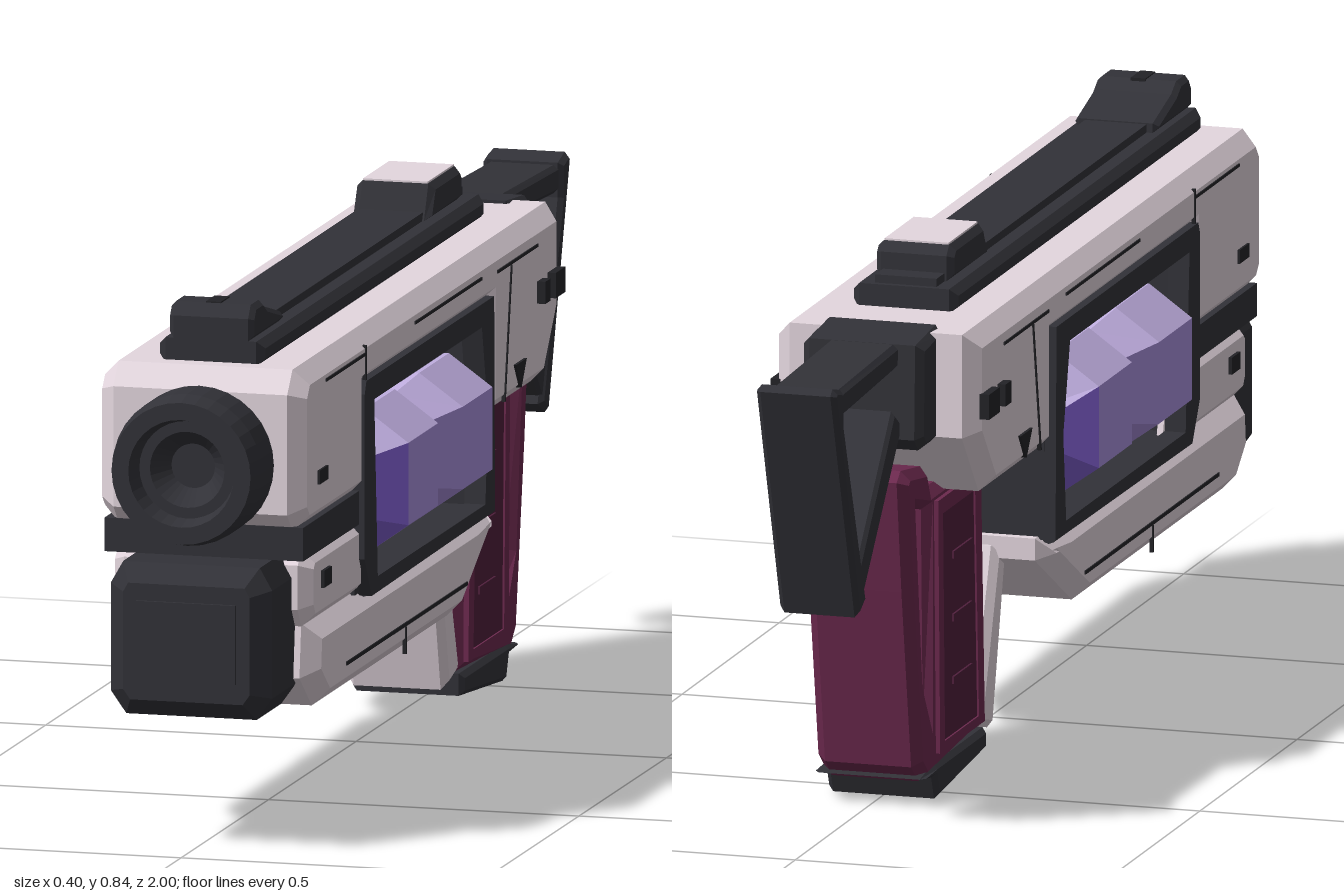
import * as THREE from 'three';

const mat = (name, color) => {
  const m = new THREE.MeshStandardMaterial({ color, flatShading: true });
  m.name = name;
  return m;
};

export function createModel() {
  const light = mat('pale shell', 0xe4d7df);
  const dark = mat('charcoal', 0x323238);
  const black = mat('black detail', 0x232327);
  const wine = mat('wine grip', 0x6c294e);
  const wineDark = mat('dark wine panel', 0x501f3c);
  const crystalMat = mat('lavender crystal', 0xaa90de);
  const crystalPale = mat('pale lavender crystal', 0xc0aee0);
  const coreMat = mat('violet core', 0x8260d2);

  const model = new THREE.Group();
  model.name = 'blaster';
  const add = (name, geometry, material) => {
    const mesh = new THREE.Mesh(geometry, material);
    mesh.name = name;
    model.add(mesh);
  };
  const vecs = (pts) => pts.map(([a, b]) => new THREE.Vector2(a, b));

  // Side profile in (z, y), extruded across x from -half to half with chamfered edges
  const profile = (name, pts, half, bevel, material, hole, x = 0) => {
    const shape = new THREE.Shape(vecs(pts));
    if (hole) shape.holes.push(new THREE.Path(vecs(hole)));
    const g = new THREE.ExtrudeGeometry(shape, {
      depth: 2 * (half - bevel), bevelEnabled: bevel > 0, bevelThickness: bevel,
      bevelSize: bevel, bevelOffset: -bevel, bevelSegments: 1,
    });
    g.translate(0, 0, -(half - bevel)).rotateY(-Math.PI / 2).translate(x, 0, 0);
    add(name, g, material);
  };
  const rect = (z0, z1, y0, y1) => [[z0, y0], [z1, y0], [z1, y1], [z0, y1]];
  const box = (name, z0, z1, y0, y1, half, material) => {
    const g = new THREE.BoxGeometry(2 * half, y1 - y0, z1 - z0);
    add(name, g.translate(0, (y0 + y1) / 2, (z0 + z1) / 2), material);
  };
  // Same plate on both sides
  const pair = (name, pts, x, thick, material, hole) => {
    for (const s of [1, -1]) {
      profile((s > 0 ? 'left ' : 'right ') + name, pts, thick / 2, 0, material, hole, s * x);
    }
  };

  // Shell
  profile('upperBody', [[0.89, 0.53], [0.89, 0.72], [0.86, 0.755], [-0.585, 0.755], [-0.585, 0.59],
    [-0.5, 0.487], [-0.19, 0.487], [-0.19, 0.665], [0.53, 0.665], [0.53, 0.5], [0.86, 0.5]], 0.165, 0.025, light);
  profile('lowerBody', [[0.81, 0.345], [0.82, 0.26], [0.75, 0.205], [-0.02, 0.205], [-0.21, 0.31],
    [-0.21, 0.345]], 0.167, 0.027, light);
  profile('middleBlock', [[0.83, 0.44], [0.83, 0.37], [0.81, 0.34], [0.52, 0.34], [0.52, 0.46], [0.81, 0.46]],
    0.16, 0.02, light);
  box('middleBand', 0.5, 0.87, 0.455, 0.508, 0.16, dark);

  // Crystal chamber
  box('chamberFrontWall', 0.495, 0.54, 0.34, 0.67, 0.15, dark);
  box('chamberRearWall', -0.195, -0.16, 0.34, 0.67, 0.15, dark);
  box('chamberCeiling', -0.17, 0.5, 0.65, 0.672, 0.15, dark);
  box('chamberFloor', -0.17, 0.5, 0.335, 0.355, 0.15, dark);
  box('core', -0.16, 0.495, 0.355, 0.65, 0.05, coreMat);
  pair('chamberGusset', [[0.495, 0.355], [0.495, 0.46], [0.465, 0.355]], 0.13, 0.01, light);
  pair('windowFrame', [[0.54, 0.68], [-0.19, 0.68], [-0.195, 0.34], [0.51, 0.335], [0.55, 0.4], [0.55, 0.66]],
    0.152, 0.034, dark, [[0.495, 0.643], [-0.12, 0.643], [-0.155, 0.5], [-0.14, 0.36], [0.475, 0.36]]);
  for (const s of [1, -1]) {
    const rod = new THREE.CylinderGeometry(0.012, 0.012, 0.7, 8).rotateX(Math.PI / 2);
    add('frameRod', rod.translate(s * 0.156, 0.345, 0.16), dark);
  }

  // Faceted double crystal: octagonal rings along z, with pale top facets and violet ends
  const ring = [[0.2, -0.065], [0.2, 0.065], [0.13, 0.115], [-0.13, 0.115],
    [-0.2, 0.065], [-0.2, -0.065], [-0.13, -0.115], [0.13, -0.115]];
  const stations = [[0.49, 0.6, 0.6], [0.41, 1, 1], [0.24, 1, 1], [0.17, 0.82, 0.8],
    [0.1, 1, 1], [-0.07, 1, 1], [-0.145, 0.6, 0.2]];
  const pos = [], sides = [], tops = [], ends = [];
  for (const [z, sx, sy] of stations) for (const [x, y] of ring) pos.push(x * sx, 0.495 + y * sy, z);
  const lastBand = stations.length - 2;
  for (let i = 0; i <= lastBand; i++) {
    for (let j = 0; j < 8; j++) {
      const a = i * 8 + j, b = i * 8 + (j + 1) % 8;
      const isTop = j >= 1 && j <= 3;
      const list = isTop ? tops : i === 0 || i === lastBand ? ends : sides;
      list.push(a, a + 8, b, b, a + 8, b + 8);
    }
  }
  const last = (stations.length - 1) * 8;
  for (let j = 1; j < 7; j++) ends.push(0, j, j + 1, last, last + j + 1, last + j);
  const crystal = new THREE.BufferGeometry();
  crystal.setAttribute('position', new THREE.Float32BufferAttribute(pos, 3));
  crystal.setIndex([...sides, ...tops, ...ends]);
  crystal.addGroup(0, sides.length, 0);
  crystal.addGroup(sides.length, tops.length, 1);
  crystal.addGroup(sides.length + tops.length, ends.length, 2);
  crystal.computeVertexNormals();
  add('crystal', crystal, [crystalMat, crystalPale, coreMat]);

  // Muzzle with stepped bore
  const bore = vecs([[0.105, 0.85], [0.105, 0.885], [0.12, 0.895], [0.12, 0.965], [0.112, 1], [0.085, 1],
    [0.077, 0.965], [0.06, 0.965], [0.035, 0.93], [0, 0.93]]);
  add('muzzle', new THREE.LatheGeometry(bore, 32).rotateX(Math.PI / 2).translate(0, 0.609, 0), dark);

  // Nose block below the muzzle
  const nose = new THREE.Shape(vecs([[-0.13, 0.25], [-0.105, 0.215], [0.105, 0.215], [0.13, 0.25],
    [0.13, 0.42], [0.11, 0.455], [-0.11, 0.455], [-0.13, 0.42]]));
  add('noseBlock', new THREE.ExtrudeGeometry(nose, { depth: 0.14, bevelThickness: 0.03, bevelSize: 0.028,
    bevelOffset: -0.028, bevelSegments: 1 }).translate(0, 0, 0.80), dark);
  box('nosePanel', 0.965, 0.975, 0.275, 0.4, 0.08, dark);

  // Top rail and sights
  profile('railBase', rect(-0.44, 0.83, 0.75, 0.79), 0.085, 0.012, dark);
  box('railTop', -0.43, 0.82, 0.78, 0.803, 0.05, dark);
  profile('frontSight', [[0.83, 0.79], [0.83, 0.825], [0.815, 0.845], [0.77, 0.845], [0.745, 0.83],
    [0.65, 0.805], [0.65, 0.79]], 0.068, 0.008, dark);
  box('frontSightNotch', 0.765, 0.815, 0.84, 0.847, 0.012, black);
  profile('rearSight', [[-0.2, 0.79], [-0.225, 0.845], [-0.375, 0.845], [-0.39, 0.83], [-0.39, 0.79]],
    0.063, 0.01, dark);
  box('rearSightPlate', -0.375, -0.225, 0.841, 0.848, 0.052, light);

  // Stock
  profile('stockMount', [[-0.55, 0.76], [-0.655, 0.75], [-0.66, 0.6], [-0.64, 0.58], [-0.55, 0.58]],
    0.098, 0.012, dark);
  profile('stockTopBar', [[-0.64, 0.75], [-0.99, 0.74], [-0.98, 0.695], [-0.64, 0.71]], 0.058, 0.008, dark);
  profile('stockBrace', [[-0.64, 0.62], [-0.685, 0.65], [-0.885, 0.42], [-0.865, 0.37]], 0.062, 0.006, dark);
  profile('stockButt', [[-1, 0.745], [-0.99, 0.755], [-0.95, 0.745], [-0.95, 0.69], [-0.835, 0.385],
    [-0.875, 0.365]], 0.065, 0.008, dark);

  // Grip, trigger and guard
  profile('grip', [[-0.325, 0.5], [-0.56, 0.5], [-0.58, 0.54], [-0.68, 0.555], [-0.7, 0.54], [-0.675, 0.36],
    [-0.625, 0.07], [-0.59, 0.04], [-0.3, 0.06]], 0.085, 0.015, wine,
    [[-0.575, 0.47], [-0.64, 0.49], [-0.6, 0.2], [-0.565, 0.13]]);
  pair('gripPanel', [[-0.365, 0.455], [-0.53, 0.455], [-0.52, 0.09], [-0.345, 0.09]], 0.085, 0.008, wineDark);
  // Raised rim around the panel and three ribs on it
  pair('gripRim', [[-0.335, 0.48], [-0.555, 0.48], [-0.545, 0.075], [-0.315, 0.075]], 0.087, 0.01, wine,
    [[-0.365, 0.455], [-0.53, 0.455], [-0.52, 0.09], [-0.345, 0.09]]);
  for (const y of [0.37, 0.27, 0.17]) pair('gripRib', rect(-0.475, -0.38, y, y + 0.012), 0.09, 0.005, wineDark);
  profile('gripBase', [[-0.295, 0.06], [-0.295, 0.025], [-0.545, 0.003], [-0.56, 0.04], [-0.62, 0.05],
    [-0.55, 0.06]], 0.09, 0.008, dark);
  profile('triggerGuard', [[-0.165, 0.33], [-0.215, 0.33], [-0.305, 0.075], [-0.295, 0.06], [-0.235, 0.045]],
    0.082, 0.012, light);
  profile('trigger', [[-0.26, 0.5], [-0.305, 0.5], [-0.285, 0.385], [-0.255, 0.39]], 0.03, 0.005, dark);

  // Side markings: vents, seams and studs
  pair('frontVent', rect(0.755, 0.805, 0.565, 0.587), 0.164, 0.009, black);
  pair('middleVent', rect(0.725, 0.768, 0.395, 0.422), 0.161, 0.009, black);
  pair('rearStud', rect(-0.48, -0.45, 0.62, 0.655), 0.17, 0.016, black);
  pair('rearStudWide', rect(-0.565, -0.51, 0.618, 0.658), 0.17, 0.016, black);
  pair('triangleMark', [[-0.315, 0.548], [-0.375, 0.548], [-0.345, 0.507]], 0.165, 0.009, black);
  pair('upperSeam', rect(0.53, 0.76, 0.719, 0.724), 0.164, 0.006, black);
  pair('middleSeam', rect(-0.13, 0.25, 0.716, 0.721), 0.164, 0.006, black);
  pair('rearSeam', rect(-0.45, -0.22, 0.71, 0.715), 0.164, 0.006, black);
  pair('frontSplit', rect(0.53, 0.535, 0.67, 0.735), 0.164, 0.006, black);
  pair('rearSplit', [[-0.298, 0.709], [-0.303, 0.709], [-0.264, 0.5], [-0.259, 0.5]], 0.164, 0.006, black);
  pair('lowerSeam', rect(-0.04, 0.65, 0.251, 0.257), 0.166, 0.006, black);
  pair('lowerSplit', rect(0.308, 0.313, 0.207, 0.25), 0.166, 0.006, black);

  return model;
}
